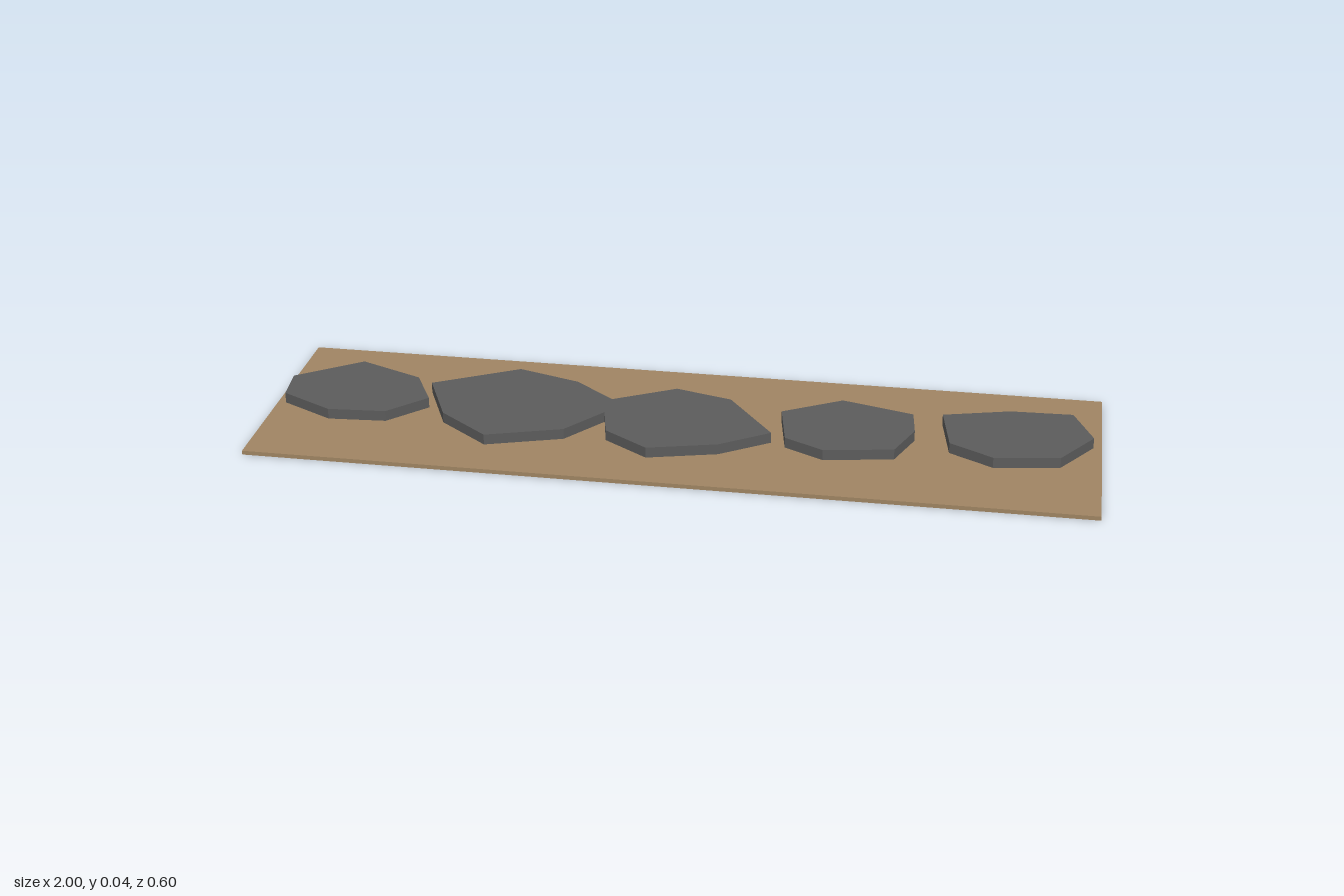
import * as THREE from 'three';

const BASE_HEIGHT = 0.01;
const STONE_TOP = 0.036;
const STONE_BOTTOM = 0.005; // bedded slightly into the ground

// Stone outlines seen from above, as [x, z] corners
const STONES = [
  [[-0.99, -0.07], [-0.84, -0.18], [-0.68, -0.11], [-0.625, 0], [-0.71, 0.09], [-0.85, 0.1], [-0.98, 0.03]],
  [[-0.64, -0.085], [-0.44, -0.2], [-0.285, -0.15], [-0.15, -0.04], [-0.265, 0.115], [-0.445, 0.175], [-0.57, 0.075]],
  [[-0.2, -0.055], [-0.035, -0.15], [0.105, -0.11], [0.225, 0.055], [0.11, 0.135], [-0.055, 0.18], [-0.165, 0.105]],
  [[0.235, -0.065], [0.375, -0.15], [0.55, -0.1], [0.56, -0.01], [0.52, 0.095], [0.355, 0.125], [0.26, 0.075]],
  [[0.62, -0.11], [0.78, -0.155], [0.93, -0.16], [0.98, -0.04], [0.905, 0.075], [0.75, 0.1], [0.645, 0.04]],
];

// Flat slab extruded upward from an irregular outline
function stoneGeometry(outline) {
  const shape = new THREE.Shape(outline.map(([x, z]) => new THREE.Vector2(x, -z)));
  const geometry = new THREE.ExtrudeGeometry(shape, { depth: STONE_TOP - STONE_BOTTOM, bevelEnabled: false });
  geometry.rotateX(-Math.PI / 2);
  geometry.translate(0, STONE_BOTTOM, 0);
  return geometry;
}

export function createModel() {
  const earth = new THREE.MeshStandardMaterial({ color: 0xa08563 });
  earth.name = 'earth brown';
  const slate = new THREE.MeshStandardMaterial({ color: 0x5c5c5c });
  slate.name = 'slate grey';

  const path = new THREE.Group();
  path.name = 'steppingStonePath';

  // Ground strip
  const ground = new THREE.Mesh(new THREE.BoxGeometry(2, BASE_HEIGHT, 0.6), earth);
  ground.name = 'groundStrip';
  ground.position.y = BASE_HEIGHT / 2;
  path.add(ground);

  // Row of stepping stones
  STONES.forEach((outline, i) => {
    const stone = new THREE.Mesh(stoneGeometry(outline), slate);
    stone.name = `steppingStone${i + 1}`;
    path.add(stone);
  });

  return path;
}
